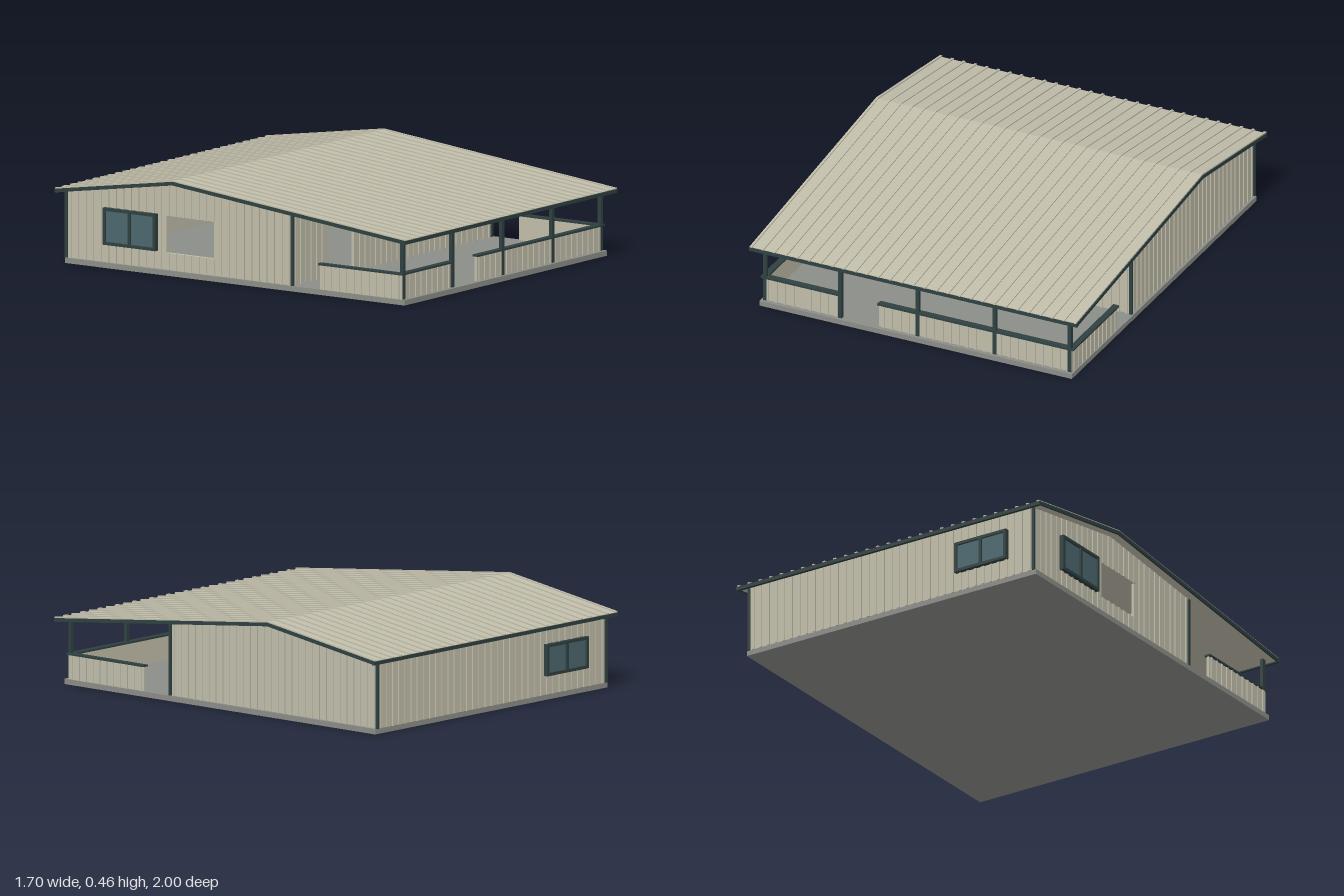
import * as THREE from 'three';
import { mergeGeometries } from 'three/addons/utils/BufferGeometryUtils.js';

const material = (name, color) => {
  const m = new THREE.MeshStandardMaterial({ color });
  m.name = name;
  return m;
};

export function createModel() {
  const group = new THREE.Group();
  group.name = 'porchHouse';
  const siding = material('beige metal siding', 0xc0bdaa);
  const trim = material('dark green trim', 0x2f4040);
  const glass = material('blue grey glass', 0x4a666e);
  const concrete = material('grey concrete', 0x8b8d87);

  const add = (name, geometry, mat) => {
    const mesh = new THREE.Mesh(geometry, mat);
    mesh.name = name;
    group.add(mesh);
    return mesh;
  };
  // Box from its minimum and maximum corners
  const span = (x0, x1, y0, y1, z0, z1) =>
    new THREE.BoxGeometry(x1 - x0, y1 - y0, z1 - z0)
      .translate((x0 + x1) / 2, (y0 + y1) / 2, (z0 + z1) / 2);

  const floor = 0.025, W = 0.795, back = -0.97, front = 0.32;
  const ridgeZ = -0.33, ridgeY = 0.454, frontY = 0.312, backY = 0.352;
  const roofY = z => z > ridgeZ
    ? ridgeY + (frontY - ridgeY) * (z - ridgeZ) / (1 - ridgeZ)
    : ridgeY + (backY - ridgeY) * (ridgeZ - z) / (1 + ridgeZ);
  const under = z => roofY(z) - 0.012;

  const outline = points => new THREE.Shape(points.map(p => new THREE.Vector2(...p)));
  const rectangle = ([a0, a1, b0, b1]) => outline([[a0, b0], [a1, b0], [a1, b1], [a0, b1]]);
  // Profile drawn in (z, y) and extruded from x0 to x1
  const sideways = (shape, x0, x1) =>
    new THREE.ExtrudeGeometry(shape, { depth: x1 - x0, bevelEnabled: false })
      .rotateY(-Math.PI / 2).translate(x1, 0, 0);

  add('foundationSlab', span(-0.81, 0.81, 0, floor, -0.97, 0.97), concrete);

  // Vertical siding ribs, interrupted by openings [u0, u1, y0, y1]
  const ribs = (name, u0, u1, top, openings, place) => {
    const n = Math.round((u1 - u0) / 0.043), parts = [];
    for (let i = 0; i < n; i++) {
      const u = u0 + (i + 0.5) * (u1 - u0) / n;
      const gap = openings.find(o => u > o[0] - 0.008 && u < o[1] + 0.008);
      const pieces = gap ? [[floor, gap[2]], [gap[3], top(u)]] : [[floor, top(u)]];
      for (const [a, b] of pieces) if (b - a > 0.005) parts.push(place(u - 0.006, u + 0.006, a, b));
    }
    add(name, mergeGeometries(parts), siding);
  };

  // Side walls with gables
  const sideOpening = [-0.40, -0.13, 0.105, 0.28];
  const sideWindow = [-0.75, -0.45, 0.11, 0.285];
  for (const s of [-1, 1]) {
    const side = s < 0 ? 'right' : 'left';
    const shape = outline([[back, floor], [front, floor], [front, under(front)],
      [ridgeZ, under(ridgeZ)], [back, under(back)]]);
    if (s < 0) shape.holes.push(rectangle(sideOpening));
    const x = s * W, inner = s * (W - 0.015), outer = s * (W + 0.005);
    add(side + 'Wall', sideways(shape, Math.min(x, inner), Math.max(x, inner)), siding);
    ribs(side + 'WallRibs', back, front, z => under(z) - 0.003, s < 0 ? [sideOpening, sideWindow] : [],
      (a, b, y0, y1) => span(Math.min(x, outer), Math.max(x, outer), y0, y1, a, b));
  }

  // Front wall with an open doorway, and back wall
  const doorway = [-0.51, -0.305, floor, 0.27];
  const frontShape = outline([[-W, floor], [-0.51, floor], [-0.51, 0.27], [-0.305, 0.27],
    [-0.305, floor], [W, floor], [W, under(front)], [-W, under(front)]]);
  add('frontWall', new THREE.ExtrudeGeometry(frontShape, { depth: 0.015, bevelEnabled: false })
    .translate(0, 0, front - 0.015), siding);
  ribs('frontWallRibs', -W, W, () => under(front) - 0.003, [doorway],
    (a, b, y0, y1) => span(a, b, y0, y1, front, front + 0.005));
  add('backWall', span(-W, W, floor, under(back), back, back + 0.015), siding);
  const backWindow = [-0.655, -0.365, 0.115, 0.265];
  ribs('backWallRibs', -W, W, () => under(back) - 0.003, [backWindow],
    (a, b, y0, y1) => span(a, b, y0, y1, back - 0.005, back));

  // Dark trim on the house corners
  for (const s of [-1, 1]) for (const z of [back, front]) {
    const x = s * (W + 0.001);
    add('cornerTrim', span(x - 0.007, x + 0.007, floor, under(z) - 0.004, z - 0.007, z + 0.007), trim);
  }

  // Two-pane windows, with glass on both faces of the wall
  const windowUnit = (name, [a0, a1, y0, y1], position, angle) => {
    const unit = new THREE.Group();
    unit.name = name;
    const w = a1 - a0, h = y1 - y0, shape = rectangle([-w / 2, w / 2, -h / 2, h / 2]);
    const e = 0.014;
    shape.holes.push(rectangle([-w / 2 + e, -e / 2, -h / 2 + e, h / 2 - e]),
      rectangle([e / 2, w / 2 - e, -h / 2 + e, h / 2 - e]));
    const frame = new THREE.Mesh(
      new THREE.ExtrudeGeometry(shape, { depth: 0.022, bevelEnabled: false }), trim);
    frame.name = 'windowFrame';
    const pane = new THREE.Mesh(new THREE.BoxGeometry(w - 0.01, h - 0.01, 0.009), glass);
    pane.position.z = 0.008;
    pane.name = 'windowGlass';
    const inside = new THREE.Mesh(new THREE.BoxGeometry(w, h, 0.004), glass);
    inside.position.z = -0.017;
    inside.name = 'insideGlass';
    unit.add(frame, pane, inside);
    unit.position.set(...position);
    unit.rotation.y = angle;
    group.add(unit);
  };
  windowUnit('backWindow', backWindow, [-0.51, 0.19, back], Math.PI);
  windowUnit('sideWindow', sideWindow, [-W, 0.1975, -0.60], -Math.PI / 2);

  // Roof sheet with dark edge trim
  const band = (top, bottom, end) => outline([[-end, backY + bottom], [ridgeZ, ridgeY + bottom],
    [end, frontY + bottom], [end, frontY + top], [ridgeZ, ridgeY + top], [-end, backY + top]]);
  add('roofSheet', sideways(band(0.002, -0.012, 0.995), -0.845, 0.845), siding);
  for (const s of [-1, 1])
    add('gableTrim', sideways(band(0.001, -0.016, 1), s * 0.845 - 0.005, s * 0.845 + 0.005), trim);
  add('frontFascia', span(-0.85, 0.85, 0.295, 0.312, 0.985, 1), trim);
  add('backFascia', span(-0.85, 0.85, 0.335, 0.352, -1, -0.985), trim);

  // Standing seams on both roof slopes
  const seams = [];
  for (let i = 0; i < 29; i++) {
    const x = -0.84 + i * 0.06;
    seams.push(sideways(band(0.007, 0.001, 1), x - 0.006, x + 0.006));
  }
  add('roofSeams', mergeGeometries(seams), siding);

  // Porch posts
  for (const x of [-0.79, -0.4, 0, 0.4, 0.79])
    add('porchPost', span(x - 0.009, x + 0.009, floor, under(0.945), 0.937, 0.955), trim);

  // Porch half walls with dark caps
  const railTop = 0.14;
  for (const [a, b] of [[-0.8, -0.4], [-0.2, 0.8]]) {
    add('frontHalfWall', span(a, b, floor, railTop, 0.935, 0.947), siding);
    ribs('frontHalfWallRibs', a, b, () => railTop, [],
      (u, v, y0, y1) => span(u, v, y0, y1, 0.947, 0.952));
    add('frontRailCap', span(a - 0.005, b + 0.005, railTop, railTop + 0.009, 0.925, 0.958), trim);
  }
  for (const s of [-1, 1]) {
    const c = s * 0.796;
    add('sideHalfWall', span(c - 0.006, c + 0.006, floor, railTop, 0.48, 0.95), siding);
    ribs('sideHalfWallRibs', 0.48, 0.95, () => railTop, [],
      (u, v, y0, y1) => span(c + s * 0.0085 - 0.0025, c + s * 0.0085 + 0.0025, y0, y1, u, v));
    add('sideRailCap', span(c - 0.015, c + 0.015, railTop, railTop + 0.009, 0.475, 0.957), trim);
  }
  return group;
}
